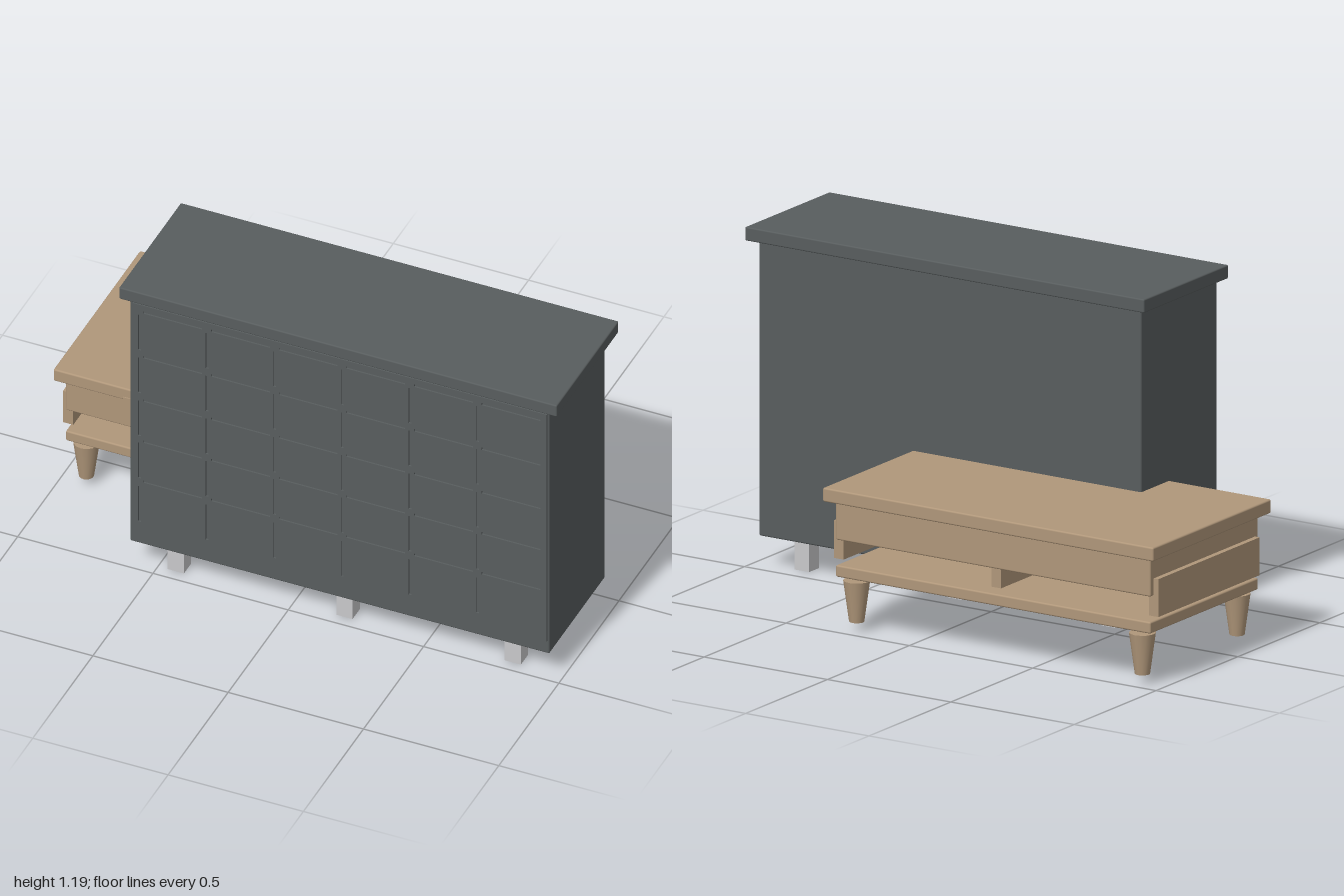
import * as THREE from 'three';
import { RoundedBoxGeometry } from 'three/addons/geometries/RoundedBoxGeometry.js';

const mat = (name, color) => Object.assign(new THREE.MeshStandardMaterial({ color }), { name });

export function createModel() {
  const slate = mat('slate paint', 0x585d5e);
  const wood = mat('light wood', 0xb0977a);
  const metal = mat('pale metal', 0xc9c9cb);

  const add = (group, name, geometry, material) => {
    const mesh = new THREE.Mesh(geometry, material);
    mesh.name = name;
    group.add(mesh);
    return mesh;
  };
  // box given by its min and max on each axis; r softens the edges
  const box = (group, name, material, [x0, x1], [y0, y1], [z0, z1], r = 0) => {
    const size = [x1 - x0, y1 - y0, z1 - z0];
    const geo = r ? new RoundedBoxGeometry(...size, 2, r) : new THREE.BoxGeometry(...size);
    add(group, name, geo, material).position.set((x0 + x1) / 2, (y0 + y1) / 2, (z0 + z1) / 2);
  };

  const model = new THREE.Group();
  model.name = 'furnitureSet';

  // Tall chest of drawers
  const chest = new THREE.Group();
  chest.name = 'chest';
  model.add(chest);
  box(chest, 'chestBody', slate, [-0.588, 0.962], [0.108, 1.143], [0.03, 0.494], 0.006);
  box(chest, 'chestTop', slate, [-0.618, 1.0], [1.145, 1.193], [0.002, 0.518], 0.005);

  // Thin front panel with slots that mark out the drawers
  const rect = (P, x0, x1, y0, y1) => new P([
    [x0, y0], [x1, y0], [x1, y1], [x0, y1],
  ].map(([x, y]) => new THREE.Vector2(x, y)));
  const panel = rect(THREE.Shape, -0.575, 0.955, 0.163, 1.128);
  const slot = 0.005;
  const rowTops = [1.1, 0.91, 0.725, 0.55, 0.38];
  const rowMids = [1.01, 0.828, 0.645, 0.465, 0.28];
  for (let col = 0; col < 6; col++) {
    const x = -0.55 + col * 0.25;
    for (let row = 0; row < 5; row++) {
      const y = rowTops[row], m = rowMids[row];
      panel.holes.push(rect(THREE.Path, x + 0.015, x + 0.232, y - slot, y + slot));
      panel.holes.push(rect(THREE.Path, x - slot, x + slot, m - 0.075, m + 0.075));
    }
  }
  add(chest, 'drawerFronts', new THREE.ExtrudeGeometry(panel, { depth: 0.007, bevelEnabled: false }), slate)
    .position.z = 0.493;

  // Square feet in two rows of three
  for (const x of [-0.434, 0.189, 0.811])
    for (const z of [0.095, 0.428])
      box(chest, 'chestFoot', metal, [x - 0.03, x + 0.03], [0, 0.112], [z - 0.03, z + 0.03]);

  // Low table
  const table = new THREE.Group();
  table.name = 'lowTable';
  model.add(table);
  const cx = -0.33, cz = -0.157;
  box(table, 'tableTop', wood, [-1.0, 0.34], [0.456, 0.505], [-0.518, 0.204], 0.006);
  box(table, 'tableFrame', wood, [-0.968, 0.308], [0.32, 0.456], [-0.487, 0.173], 0.006);
  box(table, 'tableShelf', wood, [-0.968, 0.308], [0.19, 0.231], [-0.487, 0.173], 0.006);
  box(table, 'tableDrawerFront', wood, [-0.74, 0.08], [0.36, 0.47], [0.165, 0.208]);

  // Two end panels and a centre divider
  for (const [name, x] of [['endPanel', cx - 0.638], ['divider', cx], ['endPanel', cx + 0.638]])
    box(table, name, wood, [x - 0.019, x + 0.019], [0.248, 0.381], [-0.466, 0.152]);

  // Tapered legs
  const legGeo = new THREE.CylinderGeometry(0.046, 0.026, 0.145, 14);
  for (const sx of [-1, 1])
    for (const sz of [-1, 1])
      add(table, 'tableLeg', legGeo, wood).position.set(cx + sx * 0.579, 0.1055, cz + sz * 0.289);

  // Short pins joining legs and shelf
  const pinGeo = new THREE.CylinderGeometry(0.006, 0.006, 0.02, 8);
  for (const sx of [-1, 1])
    for (const sz of [-1, 1])
      add(table, 'legPin', pinGeo, wood).position.set(cx + sx * 0.579, 0.184, cz + sz * 0.289);

  return model;
}
